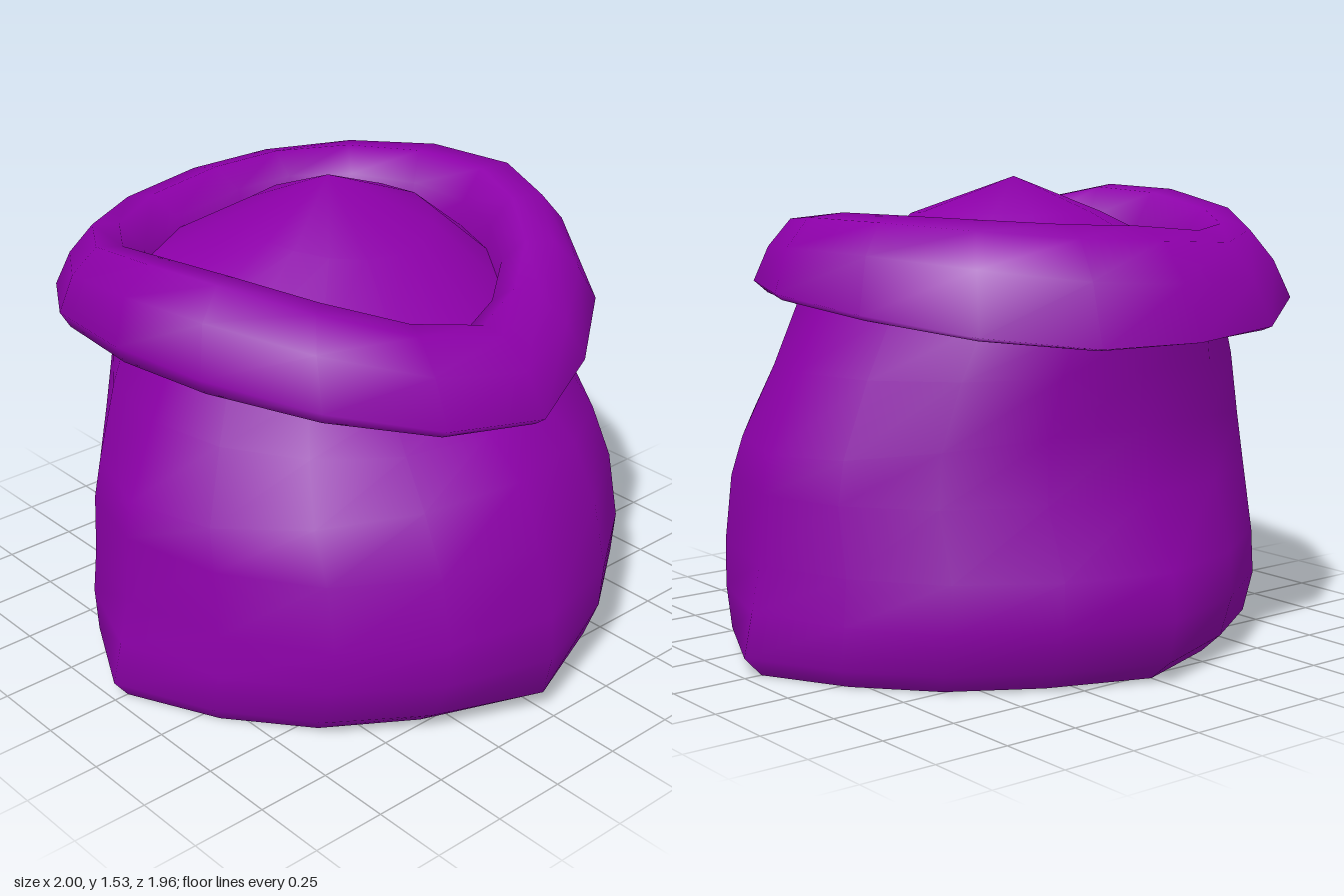
import * as THREE from 'three';

const SEGMENTS = 16;

// Smooth skin through rings. Reach and height are [right (-x), left (+x), front, back];
// pinch and lift adjust the diagonals [front right, front left, back right, back left].
// An optional apex point closes the last ring.
function loft(rings, apex) {
  const positions = [];
  const index = [];
  for (const { reach, height, pinch, lift } of rings) {
    for (let i = 0; i < SEGMENTS; i++) {
      const a = (i / SEGMENTS) * Math.PI * 2;
      const s = Math.sin(a), c = Math.cos(a);
      const side = s > 0 ? 1 : 0, end = c > 0 ? 2 : 3;
      const corner = (c > 0 ? 0 : 2) + side;
      const diagonal = Math.abs(Math.sin(2 * a));
      const scale = 1 - pinch[corner] * Math.sqrt(diagonal);
      positions.push(
        s * reach[side] * scale,
        height[side] * s * s + height[end] * c * c + lift[corner] * diagonal,
        c * reach[end] * scale,
      );
    }
  }
  for (let r = 0; r < rings.length - 1; r++) {
    for (let i = 0; i < SEGMENTS; i++) {
      const a = r * SEGMENTS + i, b = r * SEGMENTS + ((i + 1) % SEGMENTS);
      index.push(a, b, b + SEGMENTS, a, b + SEGMENTS, a + SEGMENTS);
    }
  }
  if (apex) {
    const top = positions.length / 3, last = top - SEGMENTS;
    positions.push(...apex);
    for (let i = 0; i < SEGMENTS; i++) index.push(last + i, last + ((i + 1) % SEGMENTS), top);
  }
  const geometry = new THREE.BufferGeometry();
  geometry.setAttribute('position', new THREE.Float32BufferAttribute(positions, 3));
  geometry.setIndex(index);
  geometry.computeVertexNormals();
  return geometry;
}

const NONE = [0, 0, 0, 0];
const ring = (reach, height, pinch = NONE, lift = NONE) => ({
  reach,
  height: Array.isArray(height) ? height : [height, height, height, height],
  pinch,
  lift,
});

export function createModel() {
  const group = new THREE.Group();
  group.name = 'sack';
  const material = new THREE.MeshStandardMaterial({ color: 0x8c00a8, side: THREE.DoubleSide });
  const add = (name, geometry) => {
    const mesh = new THREE.Mesh(geometry, material);
    mesh.name = name;
    group.add(mesh);
  };

  // Bulging cloth body, open underneath, leaning back at the neck
  const base = [0.095, 0.1, 0.1, 0.105];
  const lipLift = [0.045, 0.05, -0.01, -0.025];
  const neck = ring([0.71, 0.69, 0.56, 0.78], [1.15, 1.16, 0.95, 1.11], NONE, [0.04, 0.05, 0, -0.01]);
  add('body', loft([
    ring([0.95, 0.94, 0.86, 0.78], 0.005, base),
    ring([1.0, 1.0, 0.95, 0.86], 0.07, base),
    ring([0.965, 0.97, 0.98, 0.89], 0.21, [0.05, 0.06, 0.065, 0.075]),
    ring([0.93, 0.94, 0.97, 0.87], 0.36, [0.02, 0.03, 0.045, 0.055]),
    ring([0.92, 0.92, 0.91, 0.76], 0.58, [0.01, 0.025, 0.015, 0.025]),
    ring([0.9, 0.9, 0.81, 0.75], [0.7, 0.7, 0.78, 0.8], [0.01, 0.03, 0.025, 0.035]),
    ring([0.8, 0.79, 0.67, 0.76], [0.95, 0.95, 0.89, 0.97], [0, 0.02, 0, 0.01]),
    neck,
  ]));

  // Rolled-over rim: underside, lip, crest and inner wall
  const lip = [-0.035, 0.08, -0.02, -0.02];
  const crest = [-0.03, 0.07, -0.04, -0.02];
  const mouth = [-0.03, 0.07, -0.1, -0.05];
  const crestLift = [0.06, 0.01, -0.05, 0.01];
  add('rolledRim', loft([
    neck,
    ring([0.89, 0.84, 0.86, 0.95], [1.18, 1.18, 1.0, 1.075], lip, lipLift),
    ring([0.92, 0.865, 0.9, 0.98], [1.24, 1.2, 1.03, 1.08], lip, lipLift),
    ring([0.88, 0.82, 0.82, 0.91], [1.39, 1.34, 1.16, 1.25], lip, crestLift),
    ring([0.79, 0.74, 0.71, 0.81], [1.47, 1.43, 1.24, 1.37], crest, crestLift),
    ring([0.7, 0.61, 0.63, 0.68], [1.46, 1.44, 1.25, 1.41], [-0.03, 0.07, -0.07, -0.03], crestLift),
    ring([0.63, 0.53, 0.55, 0.56], [1.35, 1.34, 1.2, 1.36], mouth, crestLift),
    ring([0.61, 0.51, 0.53, 0.54], [1.2, 1.2, 1.1, 1.22], mouth),
  ]));

  // Heaped contents
  add('contents', loft([
    ring([0.63, 0.53, 0.55, 0.56], [1.25, 1.25, 1.17, 1.29], mouth),
    ring([0.33, 0.3, 0.26, 0.36], [1.42, 1.43, 1.37, 1.43]),
  ], [0, 1.54, -0.09]));

  return group;
}
